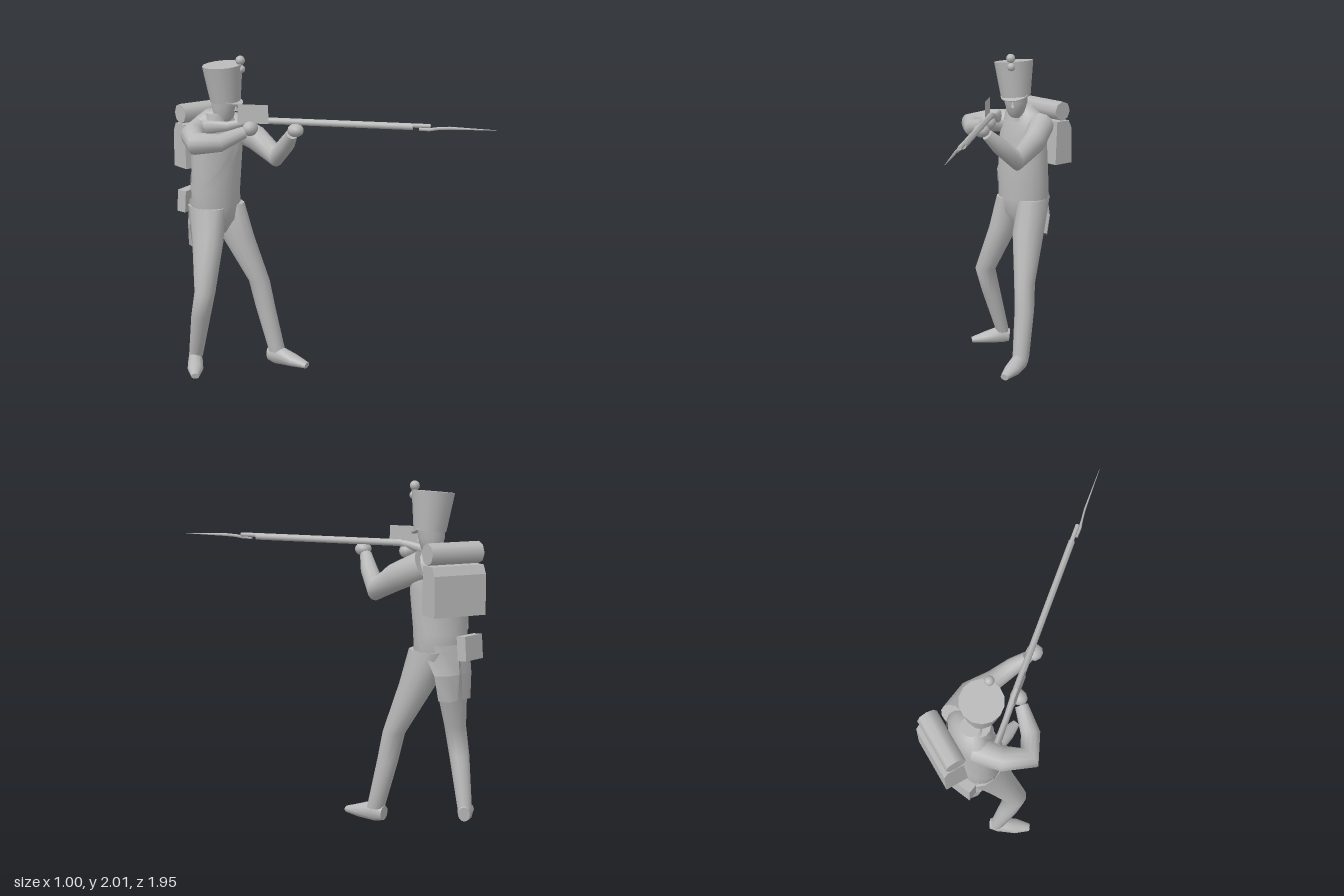
import * as THREE from 'three';

const grey = new THREE.MeshStandardMaterial({ color: 0xb8b8b8 });
grey.name = 'plain grey';
const greySheet = new THREE.MeshStandardMaterial({ color: 0xb8b8b8, side: THREE.DoubleSide });
greySheet.name = 'plain grey sheet';

function add(parent, name, geometry, x = 0, y = 0, z = 0, material = grey) {
  const mesh = new THREE.Mesh(geometry, material);
  mesh.name = name;
  mesh.position.set(x, y, z);
  parent.add(mesh);
  return mesh;
}

// Skin over elliptical sections [x, y, z, half width, half depth, yaw].
// along: rings turn with the path; otherwise they lie level and run upwards.
function loft(sections, along = false, n = 12, floor = -Infinity) {
  const pos = [], index = [], m = sections.length;
  const centre = sections.map(s => new THREE.Vector3(s[0], s[1], s[2]));
  const up = new THREE.Vector3(0, 1, 0);
  sections.forEach(([, , , a, b = a, yaw = 0], i) => {
    let U = new THREE.Vector3(Math.cos(yaw), 0, -Math.sin(yaw));
    let V = new THREE.Vector3(-Math.sin(yaw), 0, -Math.cos(yaw));
    if (along) {
      const T = centre[Math.min(i + 1, m - 1)].clone().sub(centre[Math.max(i - 1, 0)]).normalize();
      U = up.clone().cross(T).normalize();
      V = T.clone().cross(U);
    }
    for (let k = 0; k < n; k++) {
      const t = k / n * Math.PI * 2;
      const p = centre[i].clone().addScaledVector(U, a * Math.cos(t)).addScaledVector(V, b * Math.sin(t));
      pos.push(p.x, Math.max(p.y, floor), p.z);
    }
  });
  for (let i = 0; i < m - 1; i++) for (let k = 0; k < n; k++) {
    const a = i * n + k, b = i * n + (k + 1) % n;
    index.push(a, b, b + n, a, b + n, a + n);
  }
  // end caps on their own vertices, so the rims stay sharp
  [0, m - 1].forEach(i => {
    const base = pos.length / 3;
    for (let k = 0; k < n; k++) pos.push(...pos.slice((i * n + k) * 3, (i * n + k) * 3 + 3));
    for (let k = 1; k < n - 1; k++) index.push(base, base + (i ? k : k + 1), base + (i ? k + 1 : k));
  });
  const g = new THREE.BufferGeometry();
  g.setAttribute('position', new THREE.Float32BufferAttribute(pos, 3));
  g.setIndex(index);
  g.computeVertexNormals();
  return g;
}

// Open sheet between two rows of points
function sheet(rowA, rowB) {
  const index = [];
  for (let i = 0, n = rowA.length; i < n - 1; i++) index.push(i, i + 1, n + i + 1, i, n + i + 1, n + i);
  const g = new THREE.BufferGeometry();
  g.setAttribute('position', new THREE.Float32BufferAttribute([...rowA, ...rowB].flat(), 3));
  g.setIndex(index);
  g.computeVertexNormals();
  return g;
}

const TORSO = [
  [-.10, .88, -.69, .05, .07, 0], [-.10, .97, -.69, .15, .125, 0], [-.097, 1.06, -.70, .174, .14, 0],
  [-.097, 1.16, -.695, .174, .135, 0], [-.097, 1.4, -.68, .185, .12, -.15], [-.095, 1.54, -.695, .185, .105, -.27],
  [-.10, 1.62, -.70, .125, .08, -.27], [-.10, 1.66, -.69, .06, .055, -.27],
];

// Point just off the coat at angle t and height y
function onCoat(t, y, swell) {
  let i = 0;
  while (i < TORSO.length - 2 && TORSO[i + 1][1] < y) i++;
  const f = (y - TORSO[i][1]) / (TORSO[i + 1][1] - TORSO[i][1]);
  const [x, , z, a, b, w] = TORSO[i].map((v, j) => v + (TORSO[i + 1][j] - v) * f);
  const c = a * swell * Math.cos(t), s = b * swell * Math.sin(t);
  return [x + c * Math.cos(w) - s * Math.sin(w), y, z - c * Math.sin(w) - s * Math.cos(w)];
}

export function createModel() {
  const model = new THREE.Group();
  model.name = 'aimingSoldier';

  // Body, legs and shoes
  add(model, 'coat', loft(TORSO, false, 16));
  add(model, 'rightLeg', loft([
    [-.28, .08, -.735, .043, .046], [-.317, .38, -.65, .062, .062], [-.33, .55, -.60, .068, .066],
    [-.225, .85, -.66, .09, .105], [-.185, 1.06, -.70, .088, .135]]));
  add(model, 'leftLeg', loft([
    [.105, .08, -.375, .053, .055], [.08, .38, -.45, .062, .066], [.06, .55, -.48, .066, .07],
    [0, .85, -.61, .097, .115], [-.01, 1.06, -.69, .088, .135]]));
  add(model, 'rightShoe', loft([
    [-.245, .05, -.765, .035, .045], [-.285, .055, -.735, .046, .065],
    [-.37, .035, -.66, .05, .04], [-.44, .02, -.60, .025, .02]], true, 12, .005));
  add(model, 'leftShoe', loft([
    [.09, .05, -.43, .035, .045], [.1, .055, -.37, .05, .065],
    [.12, .035, -.25, .052, .04], [.13, .02, -.15, .028, .02]], true, 12, 0));

  // Two coat tails, mirrored about the middle of the back
  for (const side of [-1, 1]) {
    const row = pts => pts.map(([x, y, z]) => [-.097 + side * x, y, z]);
    const top = row([[.173, 1.1, -.71], [.12, 1.1, -.81], [.0, 1.1, -.845]]);
    const mid = row([[.145, .93, -.795], [.10, .93, -.85], [.01, .93, -.86]]);
    const low = row([[.115, .78, -.80], [.09, .78, -.855], [.02, .78, -.86]]);
    const name = side < 0 ? 'rightCoatTail' : 'leftCoatTail';
    add(model, name + 'Upper', sheet(top, mid), 0, 0, 0, greySheet);
    add(model, name + 'Lower', sheet(mid, low), 0, 0, 0, greySheet);
  }

  // Cross strap from left shoulder to right hip, with its pouch
  const upper = [], lower = [];
  for (let k = 0; k <= 32; k++) {
    const t = k / 32 * Math.PI * 2, y = 1.37 + .2 * Math.cos(t);
    upper.push(onCoat(t, y + .035, 1.04));
    lower.push(onCoat(t, y - .035, 1.04));
  }
  add(model, 'crossStrap', sheet(upper, lower), 0, 0, 0, greySheet);
  const pouch = add(model, 'cartridgePouch', new THREE.BoxGeometry(.16, .14, .06), -.165, 1.08, -.865);
  pouch.rotation.set(.08, .12, 0);

  // Arms and hands
  add(model, 'rightArm', loft([
    [-.18, 1.54, -.74, .08], [-.33, 1.54, -.67, .074], [-.425, 1.52, -.56, .07],
    [-.33, 1.52, -.455, .055], [-.19, 1.57, -.385, .038]], true));
  add(model, 'leftArm', loft([
    [.04, 1.55, -.69, .08, .085], [.095, 1.47, -.52, .07, .08], [.08, 1.38, -.345, .06, .066],
    [.03, 1.485, -.225, .05, .052], [-.01, 1.56, -.155, .036]], true));
  const hand = new THREE.SphereGeometry(.045, 10, 8);
  add(model, 'rightHand', hand, -.15, 1.59, -.365).scale.set(1.2, 1, 1);
  add(model, 'leftHand', hand, -.025, 1.59, -.115).scale.set(1.1, .9, 1.15);

  // Head and tall hat
  const head = new THREE.Group();
  head.name = 'head';
  head.position.set(-.10, 0, -.6);
  head.rotation.y = .35;
  model.add(head);
  add(head, 'face', loft([
    [0, 1.59, -.03, .04, .045], [0, 1.63, -.01, .056, .062], [0, 1.69, -.01, .074, .078], [0, 1.78, -.005, .08, .085]]));
  add(head, 'nose', new THREE.ConeGeometry(.015, .045, 6), 0, 1.69, .068);
  add(head, 'collar', new THREE.CylinderGeometry(.066, .08, .08, 12), -.01, 1.61, -.06);
  const hat = new THREE.Group();
  hat.name = 'hat';
  hat.position.y = 1.74;
  hat.rotation.set(-.05, 0, .08);
  head.add(hat);
  add(hat, 'hatBody', new THREE.CylinderGeometry(.124, .094, .225, 14), 0, .1, 0);
  const visor = add(hat, 'visor', new THREE.CylinderGeometry(.09, .09, .008, 12, 1, false, -Math.PI / 2, Math.PI), 0, 0, .022);
  visor.rotation.x = .4;
  add(hat, 'pompom', new THREE.SphereGeometry(.029, 10, 8), .01, .236, .115);
  add(hat, 'cockade', new THREE.SphereGeometry(.026, 10, 8), .01, .182, .115);

  // Knapsack with a rolled blanket on top
  const pack = new THREE.Group();
  pack.name = 'knapsack';
  pack.position.set(-.03, 1.28, -.865);
  pack.rotation.y = -.27;
  model.add(pack);
  const side = new THREE.Shape([[.07, 0], [.06, .28], [-.04, .28], [-.065, .23], [-.07, 0]].map(p => new THREE.Vector2(...p)));
  const bag = new THREE.ExtrudeGeometry(side, { depth: .33, bevelEnabled: false });
  bag.rotateY(-Math.PI / 2).translate(.165, 0, 0);
  add(pack, 'bag', bag);
  const roll = new THREE.CylinderGeometry(.062, .062, .33, 8, 1);
  roll.rotateZ(Math.PI / 2);
  add(pack, 'blanketRoll', roll, 0, .345, .015);

  // Long gun, built along its own z
  const gun = new THREE.Group();
  gun.name = 'musket';
  gun.position.set(0, 1.64, -.1);
  gun.rotation.y = .441;
  model.add(gun);
  const rod = (name, radius, from, to, y) => {
    const g = new THREE.CylinderGeometry(radius, radius, to - from, 8);
    add(gun, name, g.rotateX(Math.PI / 2), 0, y, (from + to) / 2);
  };
  rod('foreStock', .019, -.28, .68, -.003);
  rod('barrel', .013, -.28, .785, .006);
  add(gun, 'buttStock', loft([
    [0, 0, -.25, .018, .02], [0, -.015, -.33, .02, .024], [0, -.045, -.45, .018, .028], [0, -.06, -.6, .02, .045]], true, 8));
  add(gun, 'bayonet', loft([
    [-.014, -.012, .72, .01], [-.016, -.012, .78, .01], [-.012, -.004, .83, .006, .01],
    [-.006, 0, .9, .006, .01], [-.004, -.002, 1.18, .001]], true, 6));
  const lock = new THREE.PlaneGeometry(.19, .115).rotateY(Math.PI / 2);
  add(gun, 'lockPlate', lock, -.024, .04, -.285, greySheet);

  return model;
}
